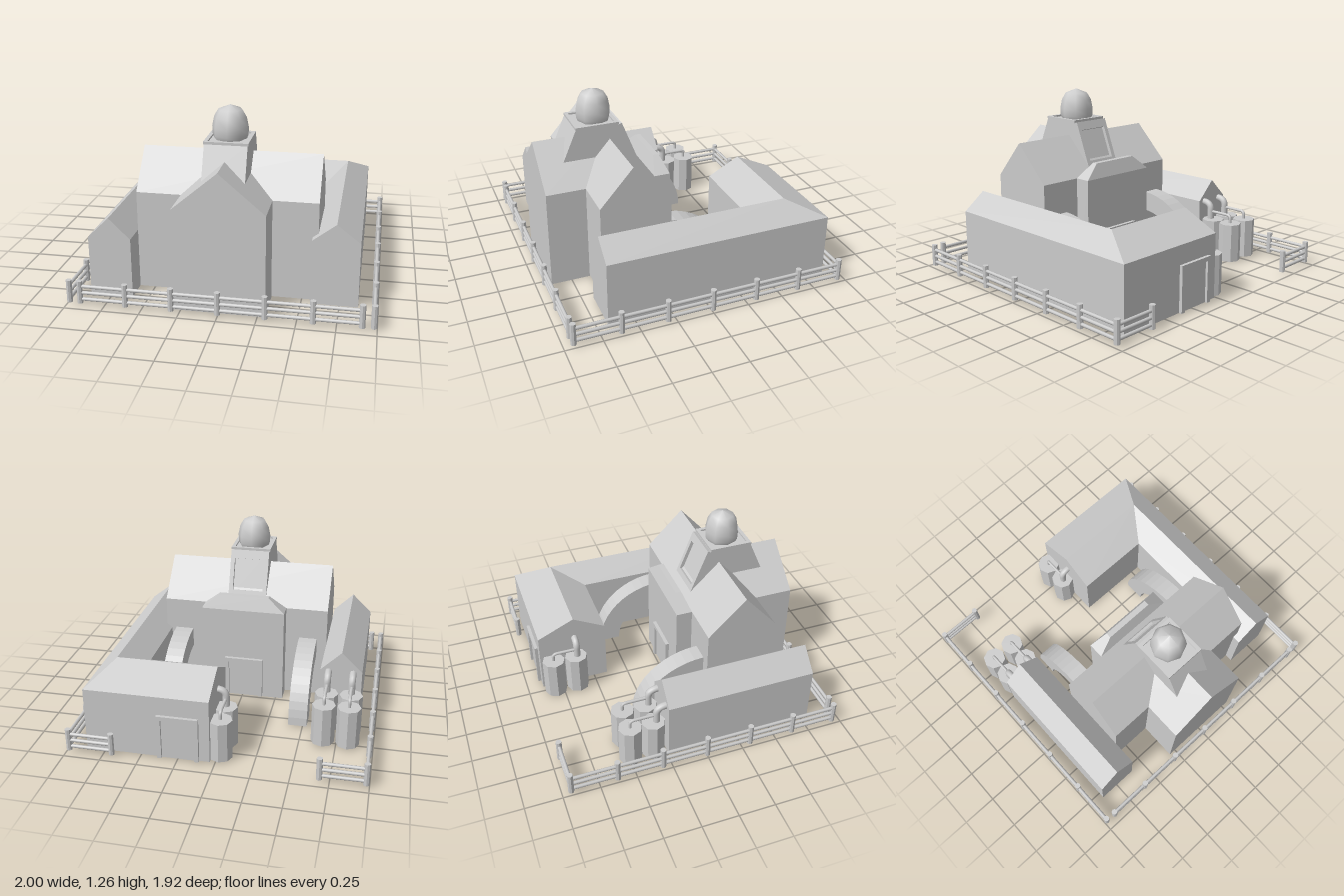
import * as THREE from 'three';

const flat = new THREE.MeshStandardMaterial({ color: 0xcccccc, flatShading: true, side: THREE.DoubleSide });
const smooth = new THREE.MeshStandardMaterial({ color: 0xcccccc });

export function createModel() {
  const root = new THREE.Group();

  const add = (name, geo, mat = flat, parent = root) => {
    const mesh = new THREE.Mesh(geo, mat);
    mesh.name = name;
    parent.add(mesh);
    return mesh;
  };
  const group = (name) => {
    const g = new THREE.Group();
    g.name = name;
    root.add(g);
    return g;
  };
  const points = (pts) => pts.map(p => new THREE.Vector2(...p));
  const extrude = (pts, depth) => new THREE.ExtrudeGeometry(
    new THREE.Shape(points(pts)), { depth, bevelEnabled: false });
  // profile in (x, y), running from z0 to z1
  const prismZ = (pts, z0, z1) => extrude(pts, z1 - z0).translate(0, 0, z0);
  // profile in (z, y), running from x0 to x1
  const prismX = (pts, x0, x1) => extrude(pts, x1 - x0).rotateY(-Math.PI / 2).translate(x1, 0, 0);
  const gable = (a, b, eave, ridge, mid = (a + b) / 2, base = 0.01) =>
    [[a, base], [b, base], [b, eave], [mid, ridge], [a, eave]];
  const box = (x0, x1, y0, y1, z0, z1) => new THREE.BoxGeometry(x1 - x0, y1 - y0, z1 - z0)
    .translate((x0 + x1) / 2, (y0 + y1) / 2, (z0 + z1) / 2);
  const remap = (geo, rule) => {
    const p = geo.attributes.position;
    for (let i = 0; i < p.count; i++) p.setXYZ(i, ...rule(p.getX(i), p.getY(i), p.getZ(i)));
    geo.computeVertexNormals();
    return geo;
  };
  // removes floors, and any further faces whose corners all pass the test
  const shell = (geo, hidden = () => false) => {
    const src = geo.index ? geo.toNonIndexed() : geo;
    const p = src.attributes.position.array, kept = [];
    for (let i = 0; i < p.length; i += 9) {
      const corners = [0, 3, 6].map(k => [p[i + k], p[i + k + 1], p[i + k + 2]]);
      if (!corners.every(c => c[1] < 0.02) && !corners.every(c => hidden(...c))) kept.push(...corners.flat());
    }
    const out = new THREE.BufferGeometry();
    out.setAttribute('position', new THREE.Float32BufferAttribute(kept, 3));
    out.computeVertexNormals();
    return out;
  };

  // main hall and front wing, open underneath
  add('mainHall', shell(prismX(gable(0.137, 0.622, 0.687, 0.943, 0.395), -0.6, 0.6)));
  add('frontWing', shell(prismZ(gable(-0.3, 0.3, 0.687, 0.943, 0, 0), 0.395, 0.892),
    (x, y, z) => z < 0.4));

  // rear bay with a hipped top
  add('rearBay', shell(box(-0.3, 0.3, 0, 0.687, 0.025, 0.137)));
  add('rearBayRoof', remap(new THREE.BoxGeometry(0.6, 0.1, 0.112),
    (x, y, z) => (y > 0 ? [x * 0.6, y, z * 0.35] : [x, y, z])).translate(0, 0.737, 0.081));

  // side wing, and L-shaped wing with mitred corner
  add('sideWing', shell(prismZ(gable(-0.886, -0.6, 0.42, 0.56), -0.243, 0.792)));
  const cx = 0.718, hx = 0.155, cz = -0.63, zBack = -0.89, zFront = -0.403;
  const mitreZ = (x) => cz - (x - cx) / hx * (x > cx ? cz - zBack : zFront - cz);
  const mitreX = (z) => cx - (z - cz) * hx / (z < cz ? cz - zBack : zFront - cz);
  const onMitre = (x, y, z) => Math.abs(z - mitreZ(x)) < 0.001;
  add('longWing', shell(remap(prismZ(gable(cx - hx, cx + hx, 0.455, 0.575), cz, 0.678),
    (x, y, z) => [x, y, z < 0 ? mitreZ(x) : z]), onMitre));
  add('rearWing', shell(remap(prismX(gable(zBack, zFront, 0.455, 0.575, cz), 0.033, cx),
    (x, y, z) => [x > 0.3 ? mitreX(z) : x, y, z]), onMitre));

  // tower with sloped front and back
  const tower = group('tower');
  add('towerBody', shell(prismX([[0.725, 0.815], [0.625, 1.045], [0.335, 1.045], [0.2, 0.7], [0.4, 0.7]],
    -0.14, 0.14), (x, y) => y < 0.82), flat, tower);
  for (const s of [-1, 1]) {
    add('towerRimSide', box(-0.0125, 0.0125, 1.04, 1.057, 0.33, 0.63).translate(s * 0.1325, 0, 0), flat, tower);
    add('towerRimEnd', box(-0.145, 0.145, 1.04, 1.057, -0.0125, 0.0125)
      .translate(0, 0, 0.48 + s * 0.1375), flat, tower);
  }
  // window frame lying on the back slope
  const frameShape = new THREE.Shape(points([[-0.14, 0], [0.14, 0], [0.14, 0.36], [-0.14, 0.36]]));
  frameShape.holes.push(new THREE.Path(points([[-0.11, 0.07], [-0.11, 0.3], [0.11, 0.3], [0.11, 0.07]])));
  const frame = add('windowFrame', new THREE.ExtrudeGeometry(frameShape,
    { depth: 0.025, bevelEnabled: false }).rotateY(Math.PI), flat, tower);
  frame.position.set(0, 0.7, 0.2);
  frame.rotation.x = Math.atan2(0.135, 0.345);

  // dome
  const domeProfile = [[0.108, 1.045], [0.118, 1.07], [0.12, 1.12], [0.107, 1.185], [0.078, 1.235], [0, 1.265]];
  add('dome', new THREE.LatheGeometry(points(domeProfile), 8).translate(0, 0, 0.465), smooth);

  // doors with raised frames, facing the back
  const door = (x, z, h) => {
    const g = group('door');
    add('doorPanel', box(x - 0.12, x + 0.12, 0.01, h - 0.03, z - 0.008, z + 0.01), flat, g);
    add('doorLintel', box(x - 0.14, x + 0.14, h - 0.03, h, z - 0.025, z + 0.01), flat, g);
    for (const s of [-1, 1])
      add('doorJamb', box(x + s * 0.125 - 0.015, x + s * 0.125 + 0.015, 0.01, h, z - 0.025, z + 0.01), flat, g);
  };
  door(-0.01, 0.025, 0.31);
  door(0.243, -0.887, 0.325);

  // quarter-arch buttresses
  const arc = (r, reverse) => Array.from({ length: 13 }, (_, i) => {
    const a = (reverse ? 12 - i : i) / 12 * Math.PI / 2;
    return [0.137 - r * Math.cos(a), 0.01 + r * 0.94 * Math.sin(a)];
  });
  for (const x of [-0.53, 0.4])
    add('buttress', shell(prismX([...arc(0.48, false), ...arc(0.33, true)], x, x + 0.13)));

  // pairs of tanks: a wide elbow runs into the wall, a thin pipe joins the two tops
  const tankPair = (x, z, dz, elbowZ, wallX, wallZ) => {
    const g = group('tankPair');
    for (const k of [0, 1])
      add('tank', new THREE.CylinderGeometry(0.08, 0.08, 0.28, 8).translate(x, 0.15, z + k * dz), flat, g);
    const v = (px, py, pz) => new THREE.Vector3(px, py, pz);
    const elbow = new THREE.CurvePath();
    elbow.add(new THREE.LineCurve3(v(x, 0.28, elbowZ), v(x, 0.36, elbowZ)));
    elbow.add(new THREE.QuadraticBezierCurve3(v(x, 0.36, elbowZ), v(x, 0.41, elbowZ), v(wallX, 0.41, wallZ)));
    add('elbowPipe', new THREE.TubeGeometry(elbow, 14, 0.024, 10), smooth, g);
    const link = new THREE.CurvePath();
    const z2 = z + dz;
    link.add(new THREE.LineCurve3(v(x, 0.28, z2), v(x, 0.32, z2)));
    link.add(new THREE.QuadraticBezierCurve3(v(x, 0.32, z2), v(x, 0.345, z2), v(x, 0.345, z2 + 0.03)));
    link.add(new THREE.LineCurve3(v(x, 0.345, z2 + 0.03), v(x, 0.345, elbowZ)));
    add('linkPipe', new THREE.TubeGeometry(link, 20, 0.011, 8), smooth, g);
  };
  tankPair(-0.825, -0.33, -0.16, -0.307, -0.825, -0.23);
  tankPair(-0.657, -0.33, -0.16, -0.307, -0.657, -0.23);
  tankPair(-0.022, -0.64, -0.165, -0.63, 0.045, -0.63);

  // fence runs of evenly spaced posts and three rails
  const fence = (x0, z0, x1, z1, bays, skipFirst = false) => {
    const g = group('fence');
    for (let i = skipFirst ? 1 : 0; i <= bays; i++) {
      const t = i / bays;
      add('post', new THREE.CylinderGeometry(0.02, 0.02, 0.155, 8)
        .translate(x0 + (x1 - x0) * t, 0.095, z0 + (z1 - z0) * t), flat, g);
    }
    for (const y of [0.045, 0.09, 0.135])
      add('rail', new THREE.TubeGeometry(new THREE.LineCurve3(
        new THREE.Vector3(x0, y, z0), new THREE.Vector3(x1, y, z1)), 1, 0.012, 8), smooth, g);
  };
  fence(-0.907, 0.94, 0.907, 0.94, 6);
  for (const s of [-1, 1]) {
    fence(s * 0.98, -0.94, s * 0.98, 0.936, 6);
    fence(s * 0.98, -0.94, s * 0.685, -0.94, 1, true);
  }
  return root;
}
